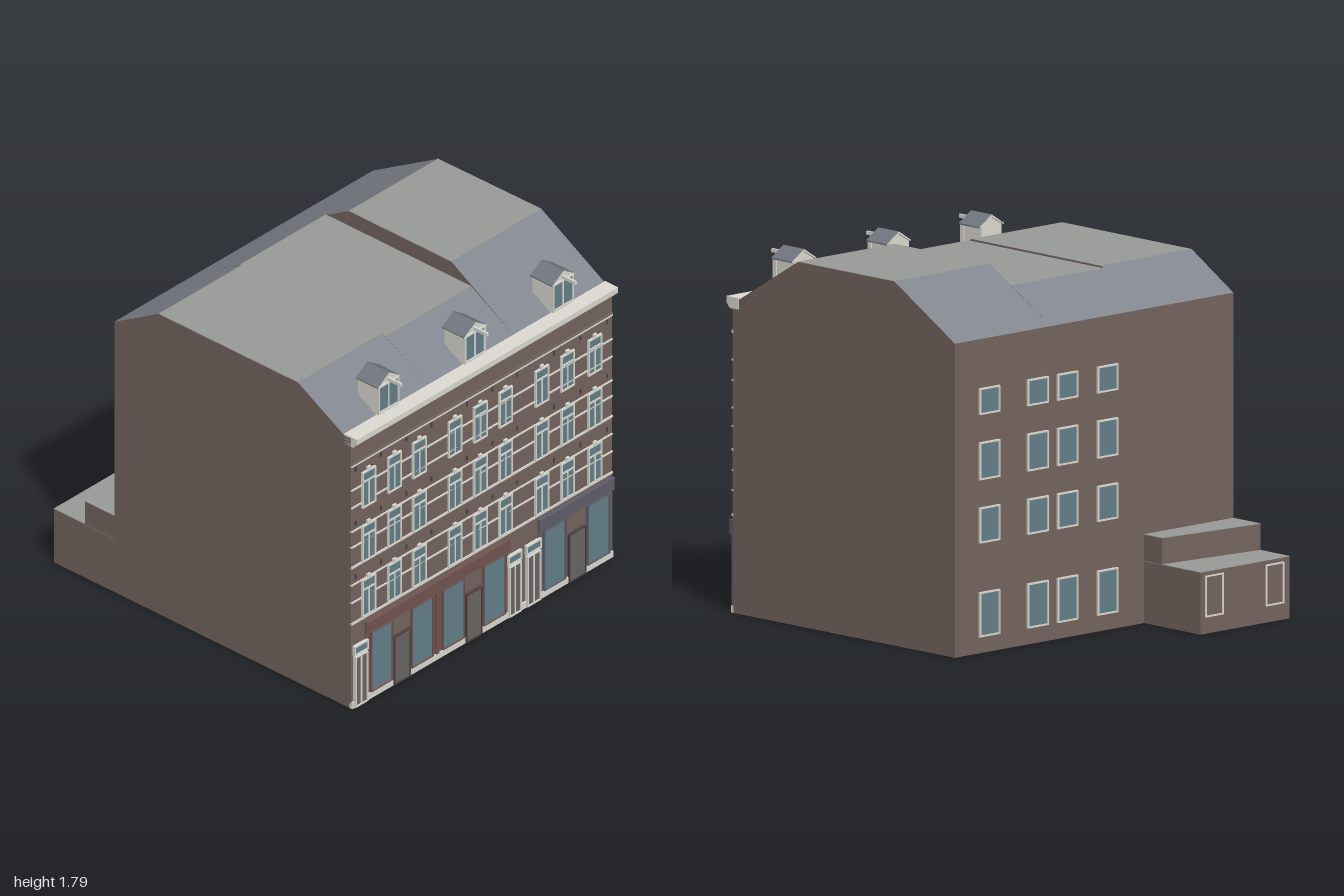
import * as THREE from 'three';

const mat = (color) => new THREE.MeshStandardMaterial({ color });
const M = {
  brick: mat(0x75655f), slope: mat(0x82868f), flat: mat(0x999b98), white: mat(0xdddbd3),
  glass: mat(0x64808a), door: mat(0x6a6664), dark: mat(0x4c4240),
  shopRed: mat(0x745551), shopBlue: mat(0x605e6c), slate: mat(0x737780),
};
const WALL = 0.945, BACK = -0.6, EAVES = 1.54;

export function createModel() {
  const root = new THREE.Group();
  root.name = 'terraceHouses';

  const group = (name, parent = root) => {
    const g = new THREE.Group();
    g.name = name;
    parent.add(g);
    return g;
  };
  const add = (name, geo, material, parent = root) => {
    const m = new THREE.Mesh(geo, material);
    m.name = name;
    parent.add(m);
    return m;
  };
  // Box given by its limits on each axis
  const box = (name, x0, x1, y0, y1, z0, z1, material, parent) => {
    const g = new THREE.BoxGeometry(x1 - x0, y1 - y0, z1 - z0);
    g.translate((x0 + x1) / 2, (y0 + y1) / 2, (z0 + z1) / 2);
    return add(name, g, material, parent);
  };
  const shapeOf = (pts) => new THREE.Shape(pts.map(([a, b]) => new THREE.Vector2(a, b)));
  // Side profile of [z, y] points drawn out from x0 to x1
  const alongX = (pts, x0, x1) => {
    const g = new THREE.ExtrudeGeometry(shapeOf(pts.map(([z, y]) => [-z, y])), { depth: x1 - x0, bevelEnabled: false });
    return g.rotateY(Math.PI / 2).translate(x0, 0, 0);
  };
  // Footprint of [x, z] points raised to a height
  const upward = (pts, height) => {
    const g = new THREE.ExtrudeGeometry(shapeOf(pts.map(([x, z]) => [x, -z])), { depth: height, bevelEnabled: false });
    return g.rotateX(-Math.PI / 2);
  };
  // The right-hand end wall runs slightly inwards towards the back
  const skew = (geo) => {
    const p = geo.attributes.position;
    for (let i = 0; i < p.count; i++)
      if (p.getX(i) > 0.9) p.setX(i, 0.925 - 0.015 * (WALL - p.getZ(i)) / (WALL - BACK));
    geo.computeVertexNormals();
    return geo;
  };
  // Framed pane centred on a wall face; transom is a fraction of the height
  const pane = (name, x0, x1, y0, y1, z, parent, { t = 0.008, transom = 0, mullion = false, fill = M.glass, frame = M.white } = {}) => {
    const w = group(name, parent);
    const s = shapeOf([[x0, y0], [x1, y0], [x1, y1], [x0, y1]]);
    s.holes.push(shapeOf([[x0 + t, y0 + t], [x0 + t, y1 - t], [x1 - t, y1 - t], [x1 - t, y0 + t]]));
    const f = new THREE.ExtrudeGeometry(s, { depth: 0.024, bevelEnabled: false });
    add('frame', f.translate(0, 0, z - 0.012), frame, w);
    box('filling', x0 + t, x1 - t, y0 + t, y1 - t, z - 0.006, z + 0.006, fill, w);
    const yt = transom ? y0 + (y1 - y0) * transom : y1;
    if (transom) box('transom', x0, x1, yt - 0.005, yt + 0.005, z - 0.01, z + 0.01, frame, w);
    if (mullion) box('mullion', (x0 + x1) / 2 - 0.004, (x0 + x1) / 2 + 0.004, y0, yt, z - 0.01, z + 0.01, frame, w);
    return w;
  };

  // Main walls
  add('walls', upward([[-0.93, WALL], [0.925, WALL], [0.91, BACK], [-0.93, BACK]], EAVES), M.brick);

  // Roofs: brick gable ends, slate slopes and a flat top
  const houses = [
    { x0: -0.93, x1: -0.33, top: 1.71, zf: 0.6, zb: -0.31 },
    { x0: -0.33, x1: 0.28, top: 1.7, zf: 0.62, zb: -0.33 },
    { x0: 0.28, x1: 0.925, top: 1.785, zf: 0.49, zb: -0.18 },
  ];
  for (const h of houses) {
    const pts = [[0.9, EAVES], [h.zf, h.top], [h.zb, h.top], [BACK, EAVES]].reverse();
    add('roof', skew(alongX(pts, h.x0, h.x1)), [M.brick, M.slope]);
    const g = new THREE.BoxGeometry(h.x1 - h.x0, 0.003, h.zf - h.zb);
    g.translate((h.x0 + h.x1) / 2, h.top, (h.zf + h.zb) / 2);
    add('flatRoof', skew(g), M.flat);
  }

  // Cornice with gutter
  add('cornice', alongX([[0.9, 1.492], [0.9, 1.548], [0.985, 1.548], [0.985, 1.518], [0.96, 1.492]], -0.93, 0.927), M.white);

  // Light stone bands
  const bands = group('stoneBands');
  for (const y of [0.48, 0.6, 0.7, 0.8, 0.915, 1.005, 1.14, 1.24, 1.378]) {
    const h = [0.48, 0.8, 1.378].includes(y) ? 0.006 : 0.004;
    box('band', -0.93, 0.925, y - h, y + h, WALL - 0.01, WALL + 0.006, M.white, bands);
  }
  box('frieze', -0.93, 0.925, 1.385, 1.392, WALL - 0.01, WALL + 0.008, M.brick, bands);

  // Upper front windows with keystones
  const columns = [-0.81, -0.627, -0.45, -0.197, -0.017, 0.163, 0.42, 0.603, 0.797];
  const rows = [[0.487, 0.7], [0.8, 1.008], [1.108, 1.312]];
  const front = group('frontWindows');
  for (const x of columns)
    for (const [y0, y1] of rows) {
      pane('window', x - 0.048, x + 0.048, y0, y1, WALL, front, { transom: 0.72, mullion: true });
      box('keystone', x - 0.011, x + 0.011, y1, y1 + 0.018, WALL - 0.01, WALL + 0.012, M.white, front);
    }

  // Wall anchors between the windows
  const anchors = group('wallAnchors');
  for (const x of [-0.9, -0.718, -0.538, -0.36, -0.107, 0.073, 0.25, 0.512, 0.7, 0.89])
    for (const y of [0.74, 1.045, 1.352])
      box('anchor', x - 0.004, x + 0.004, y - 0.013, y + 0.013, WALL - 0.005, WALL + 0.005, M.dark, anchors);

  // Plinth
  box('plinth', -0.93, 0.925, 0, 0.035, WALL - 0.01, WALL + 0.01, M.white);

  // Shopfronts: fascia, posts, display windows and recessed-looking doors
  const shopfront = (x0, x1, yTop, material, windows, doors) => {
    const s = group('shopfront');
    box('backing', x0, x1, 0.035, yTop, WALL - 0.01, WALL + 0.004, material, s);
    box('fascia', x0, x1, 0.385, yTop, WALL - 0.01, WALL + 0.016, material, s);
    box('fasciaMoulding', x0, x1, yTop - 0.008, yTop, WALL, WALL + 0.02, material, s);
    for (const [a, b] of windows)
      pane('displayWindow', a, b, 0.038, 0.38, WALL + 0.004, s, { t: 0.006, frame: material });
    for (const [a, b] of doors) {
      box('overdoorPanel', a - 0.005, b + 0.005, 0.285, 0.378, WALL, WALL + 0.007, M.brick, s);
      pane('shopDoor', a, b, 0.003, 0.275, WALL + 0.006, s, { t: 0.005, fill: M.door, frame: M.dark });
    }
    return s;
  };
  const red = shopfront(-0.835, 0.187, 0.45, M.shopRed,
    [[-0.8, -0.645], [-0.512, -0.358], [-0.29, -0.135], [0, 0.157]], [[-0.637, -0.523], [-0.125, -0.013]]);
  box('centrePost', -0.335, -0.315, 0.035, 0.385, WALL, WALL + 0.014, M.shopRed, red);
  shopfront(0.397, 0.927, 0.455, M.shopBlue, [[0.43, 0.583], [0.738, 0.897]], [[0.605, 0.725]]);

  // House doors with fanlights
  for (const [a, b] of [[-0.92, -0.82], [0.175, 0.272], [0.303, 0.41]]) {
    const d = group('houseDoor');
    pane('doubleDoor', a + 0.005, b - 0.005, 0.003, 0.29, WALL + 0.006, d, { mullion: true, fill: M.door });
    pane('fanlight', a, b, 0.298, 0.352, WALL + 0.006, d);
  }

  // Dormers with pitched roof and hoisting beam
  for (const x of [-0.63, -0.017, 0.61]) {
    const d = group('dormer');
    d.position.x = x;
    const gable = shapeOf([[-0.066, 1.54], [0.066, 1.54], [0.066, 1.712], [0, 1.75], [-0.066, 1.712]]);
    add('body', new THREE.ExtrudeGeometry(gable, { depth: 0.135, bevelEnabled: false }).translate(0, 0, 0.777), M.white, d);
    pane('dormerWindow', -0.073, 0.073, 1.56, 1.712, 0.908, d, { mullion: true });
    const cover = shapeOf([[-0.08, 1.706], [0, 1.752], [0.08, 1.706], [0.08, 1.713], [0, 1.765], [-0.08, 1.713]]);
    const roofMesh = new THREE.ExtrudeGeometry(cover, { depth: 0.145, bevelEnabled: false }).translate(0, 0, 0.775);
    add('dormerRoof', roofMesh, [M.white, M.slate], d);
    box('hoistBeam', -0.006, 0.006, 1.718, 1.736, 0.9, 1, M.white, d);
  }

  // Rear extension in two steps with flat roofs
  const ext = group('rearExtension');
  box('lowerBlock', -0.93, -0.34, 0, 0.303, -0.995, BACK, M.brick, ext);
  box('lowerRoof', -0.93, -0.34, 0.303, 0.306, -0.995, BACK, M.flat, ext);
  const step = [[-0.93, BACK], [-0.34, BACK], [-0.34, -0.725], [-0.93, -0.79]];
  add('upperBlock', upward(step, 0.433), M.brick, ext);
  add('upperRoof', upward(step, 0.003).translate(0, 0.433, 0), M.flat, ext);
  for (const [a, b] of [[-0.89, -0.77], [-0.49, -0.37]])
    pane('extensionWindow', a, b, 0.08, 0.285, -0.988, ext);

  // Rear windows
  const rear = group('rearWindows');
  for (const [a, b] of [[0.62, 0.755], [0.3, 0.437], [0.105, 0.24], [-0.16, -0.025]])
    for (const [y0, y1] of [[0.08, 0.3], [0.54, 0.715], [0.85, 1.035], [1.17, 1.3]])
      pane('rearWindow', a, b, y0, y1, BACK, rear);

  return root;
}
